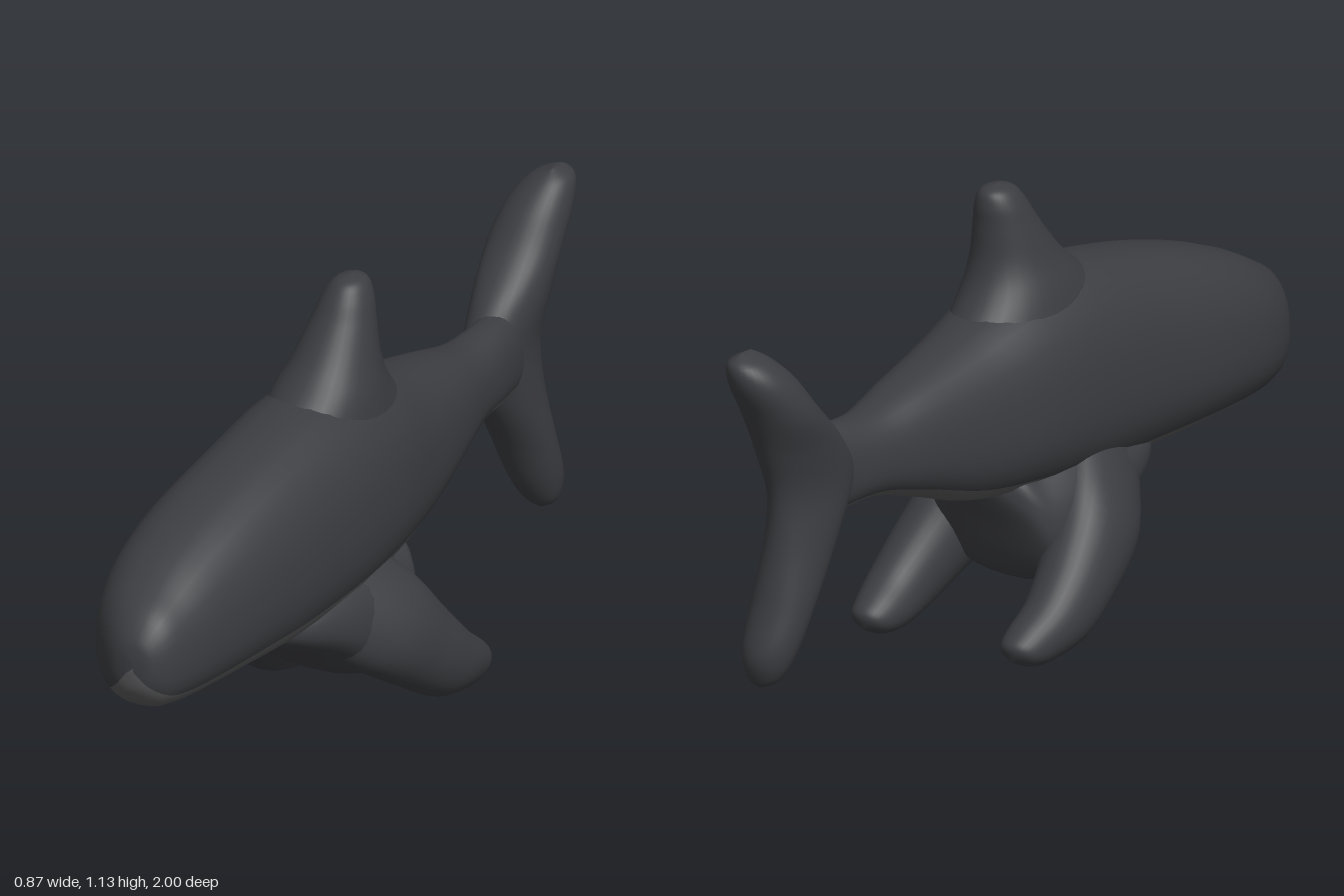
import * as THREE from 'three';

const SIDES = 32, STEPS = 6;
const skin = new THREE.MeshStandardMaterial({ color: 0x3c3d41 });
const pale = new THREE.MeshStandardMaterial({ color: 0x58585a });

// Catmull-Rom blend of whole cross-sections
function blend(rings, i, t) {
  const at = k => rings[Math.min(Math.max(k, 0), rings.length - 1)];
  const [a, b, c, d] = [at(i - 1), at(i), at(i + 1), at(i + 2)];
  return b.map((v, k) => {
    const r = 0.5 * (2 * v + (c[k] - a[k]) * t + (2 * a[k] - 5 * v + 4 * c[k] - d[k]) * t * t
      + (3 * v - a[k] - 3 * c[k] + d[k]) * t * t * t);
    return k > 2 ? Math.max(r, 0.0005) : r;
  });
}

// Smooth skin over oval rings [x, y, z, halfWidth, up, down]; tilt turns "up" from +y to +z,
// a power below 1 makes the ovals squarer
function loft(rings, tilt = 0, power = 1) {
  const pos = [], index = [];
  const rows = (rings.length - 1) * STEPS;
  const soften = n => Math.sign(n) * Math.abs(n) ** power;
  for (let r = 0; r <= rows; r++) {
    const i = Math.min(Math.floor(r / STEPS), rings.length - 2);
    const [x, y, z, w, up, down] = blend(rings, i, r / STEPS - i);
    for (let j = 0; j < SIDES; j++) {
      const a = j / SIDES * Math.PI * 2, s = soften(Math.sin(a));
      const h = s * (s > 0 ? up : down);
      pos.push(x + w * soften(Math.cos(a)), y + h * Math.cos(tilt), z + h * Math.sin(tilt));
    }
  }
  for (let r = 0; r < rows; r++) for (let j = 0; j < SIDES; j++) {
    const k = (j + 1) % SIDES, p = r * SIDES, q = p + SIDES;
    index.push(p + j, q + j, p + k, p + k, q + j, q + k);
  }
  // Close both tips
  const last = rows * SIDES;
  for (let j = 1; j < SIDES - 1; j++) index.push(0, j, j + 1, last, last + j + 1, last + j);
  // Turn the faces outward if the enclosed volume comes out negative
  const v = n => new THREE.Vector3().fromArray(pos, n * 3);
  let volume = 0;
  for (let i = 0; i < index.length; i += 3)
    volume += v(index[i]).dot(v(index[i + 1]).cross(v(index[i + 2])));
  if (volume < 0)
    for (let i = 0; i < index.length; i += 3) [index[i], index[i + 1]] = [index[i + 1], index[i]];
  const g = new THREE.BufferGeometry();
  g.setAttribute('position', new THREE.Float32BufferAttribute(pos, 3));
  g.setIndex(index);
  g.computeVertexNormals();
  return g;
}

// Upright fin from rows [y, leading z, trailing z, halfWidth, x]
const finRings = rows => rows.map(([y, l, t, w, x]) => [x, y, (l + t) / 2, w, (l - t) / 2, (l - t) / 2]);

export function createModel() {
  const model = new THREE.Group();
  model.name = 'shark';
  const fish = new THREE.Group();
  fish.name = 'swimmingShark';
  fish.rotation.y = 0.345;
  model.add(fish);
  const add = (name, geometry, material = skin) => {
    const mesh = new THREE.Mesh(geometry, material);
    mesh.name = name;
    fish.add(mesh);
    return mesh;
  };

  // Body rows: z, top, bottom, half width, sideways offset
  const bodyRows = [
    [1.058, 0.53, 0.49, 0.01, 0.012], [1.045, 0.575, 0.435, 0.055, 0.01], [1, 0.63, 0.385, 0.102, 0],
    [0.93, 0.672, 0.362, 0.14, -0.016], [0.82, 0.73, 0.35, 0.17, -0.023], [0.66, 0.79, 0.343, 0.19, -0.018],
    [0.45, 0.845, 0.335, 0.197, -0.005],
    [0.2, 0.885, 0.34, 0.2, 0], [0, 0.865, 0.36, 0.188, 0], [-0.2, 0.805, 0.39, 0.153, 0],
    [-0.4, 0.755, 0.46, 0.118, 0], [-0.55, 0.72, 0.505, 0.086, 0], [-0.68, 0.725, 0.505, 0.068, 0],
    [-0.8, 0.72, 0.51, 0.06, -0.02], [-0.88, 0.62, 0.6, 0.01, -0.03],
  ];
  const body = loft(bodyRows.map(([z, top, bottom, w, x]) => {
    const mid = bottom + (top - bottom) * 0.45;
    return [x, mid, z, w, top - mid, mid - bottom];
  }), 0, 0.84);
  // The underside shares the body's smooth normals but has a paler colour
  const belly = body.clone(), upper = [], under = [];
  const faces = body.index.array;
  for (let i = 0; i < faces.length; i += 6) {
    const j = (i / 6) % SIDES;
    const low = j >= SIDES * 0.62 && j < SIDES * 0.88;
    (low ? under : upper).push(...faces.slice(i, i + 6));
  }
  body.setIndex(upper);
  belly.setIndex(under);
  add('body', body);
  add('belly', belly, pale);

  // Deep chest joining the two side fins
  add('chest', loft([
    [0, 0.38, 0.5, 0.01, 0.01, 0.01], [0, 0.37, 0.42, 0.13, 0.06, 0.06], [0, 0.34, 0.3, 0.18, 0.12, 0.1],
    [0, 0.3, 0.18, 0.2, 0.18, 0.145], [0, 0.27, 0.07, 0.205, 0.2, 0.155], [0, 0.28, -0.02, 0.185, 0.17, 0.12],
    [0, 0.36, -0.085, 0.13, 0.1, 0.05], [0, 0.43, -0.13, 0.01, 0.01, 0.01],
  ], 0, 0.85));

  // Dorsal fin
  add('dorsalFin', loft(finRings([
    [0.74, 0.42, -0.22, 0.15, 0], [0.86, 0.28, -0.1, 0.128, 0.006], [0.94, 0.19, -0.058, 0.102, 0.012],
    [1.03, 0.12, -0.05, 0.077, 0.016], [1.085, 0.085, -0.05, 0.06, 0.018], [1.12, 0.055, -0.038, 0.038, 0.02],
    [1.133, 0.012, 0, 0.003, 0.02],
  ]), Math.PI / 2));

  // Tail fin, one crescent from lower tip to upper tip
  add('tailFin', loft(finRings([
    [0.135, -0.94, -0.96, 0.004, 0], [0.16, -0.91, -0.985, 0.045, -0.005], [0.23, -0.865, -1.0, 0.07, -0.012],
    [0.35, -0.805, -0.965, 0.08, -0.02], [0.5, -0.71, -0.935, 0.078, -0.025], [0.62, -0.65, -0.935, 0.075, -0.025],
    [0.73, -0.71, -0.97, 0.085, -0.025], [0.84, -0.82, -1.015, 0.092, -0.03], [0.93, -0.89, -1.06, 0.08, -0.02],
    [0.985, -0.945, -1.065, 0.052, -0.005], [1.01, -0.985, -1.03, 0.005, 0.005],
  ]), Math.PI / 2));

  // Side fins, swept down and back; the right one sits a little further forward and outward
  const sideFin = [
    [0.05, 0.42, 0.25, 0.09, 0.14, 0.16], [0.145, 0.3, 0.11, 0.108, 0.14, 0.145], [0.188, 0.195, -0.015, 0.095, 0.12, 0.11],
    [0.205, 0.11, -0.125, 0.08, 0.1, 0.088], [0.2, 0.066, -0.215, 0.067, 0.074, 0.07],
    [0.198, 0.048, -0.268, 0.047, 0.047, 0.047], [0.197, 0.04, -0.29, 0.003, 0.003, 0.003],
  ];
  for (const [name, side, x, y, z] of [['leftSideFin', 1, 0, -0.005, 0], ['rightSideFin', -1, -0.012, -0.012, 0.055]])
    add(name, loft(sideFin.map(([u, ...rest]) => [u * side, ...rest]), Math.PI * 0.75)).position.set(x, y, z);

  return model;
}
